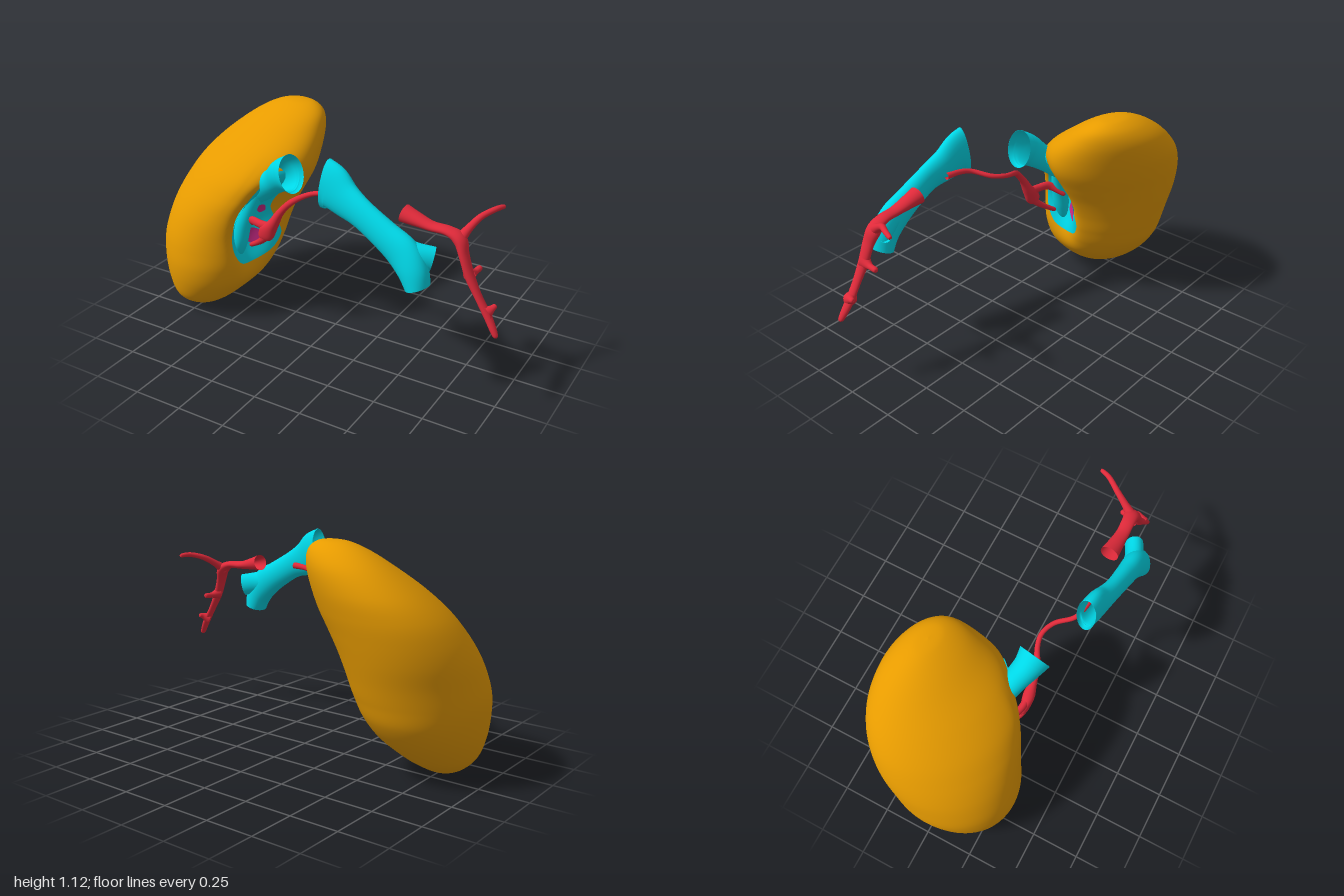
import * as THREE from 'three';

const mat = (name, color, side = THREE.DoubleSide) => {
  const m = new THREE.MeshStandardMaterial({ color, side });
  m.name = name;
  return m;
};

// Smooth interpolation through rows of numbers, t from 0 to rows.length - 1
function spline(rows, t) {
  const n = rows.length - 1;
  const i = Math.min(Math.floor(t), n - 1), f = t - i;
  const p = k => rows[Math.max(0, Math.min(n, k))];
  return rows[0].map((_, k) => {
    const a = p(i - 1)[k], b = p(i)[k], c = p(i + 1)[k], d = p(i + 2)[k];
    return b + 0.5 * f * (c - a + f * (2 * a - 5 * b + 4 * c - d + f * (3 * (b - c) + d - a)));
  });
}

// Skin over closed rings of points
function skin(rings) {
  const m = rings[0].length, index = [];
  for (let i = 0; i < rings.length - 1; i++) {
    for (let j = 0; j < m; j++) {
      const k = (j + 1) % m, a = i * m, c = a + m;
      index.push(a + j, c + j, a + k, a + k, c + j, c + k);
    }
  }
  const g = new THREE.BufferGeometry();
  g.setAttribute('position', new THREE.Float32BufferAttribute(rings.flat(2), 3));
  g.setIndex(index);
  g.computeVertexNormals();
  return g;
}

// Organ sections: y, xMin, xMax, zMin, zMax
const organ = [
  [0, -0.765, -0.765, 0.115, 0.115], [0.012, -0.83, -0.695, 0.04, 0.19],
  [0.05, -0.885, -0.625, -0.035, 0.262], [0.105, -0.927, -0.555, -0.115, 0.312],
  [0.2, -0.967, -0.457, -0.215, 0.345], [0.3, -0.99, -0.4, -0.285, 0.357],
  [0.4, -1, -0.363, -0.32, 0.348], [0.5, -0.99, -0.333, -0.35, 0.33],
  [0.6, -0.97, -0.293, -0.38, 0.305], [0.7, -0.93, -0.242, -0.405, 0.27],
  [0.8, -0.87, -0.197, -0.425, 0.215], [0.9, -0.78, -0.185, -0.433, 0.12],
  [1.0, -0.66, -0.192, -0.415, -0.01], [1.07, -0.55, -0.217, -0.37, -0.11],
  [1.11, -0.45, -0.275, -0.31, -0.19], [1.12, -0.36, -0.36, -0.25, -0.25],
];
const hollow = (z, y) =>
  0.15 * Math.exp(-Math.pow(((z - 0.115) / 0.12) ** 2 + ((y - 0.55) / 0.25) ** 2, 1.5));

// Point on an organ section, where c and s are the cosine and sine round it
function organPoint([y, x0, x1, z0, z1], c, s) {
  const dz = (z1 - z0) / 2 * s, z = (z0 + z1) / 2 + dz;
  const lean = 0.27 * THREE.MathUtils.smoothstep(y, 0.4, 0.9);
  let x = (x0 + x1) / 2 + (x1 - x0) / 2 * c + lean * dz;
  if (c > 0) x -= hollow(z, y) * Math.min(1, c * 4);
  return [x, y, z];
}

function organGeometry() {
  const rings = [], rows = 160, cols = 160;
  for (let i = 0; i <= rows; i++) {
    const sec = spline(organ, i / rows * (organ.length - 1));
    rings.push(Array.from({ length: cols }, (_, j) => {
      const a = j / cols * Math.PI * 2;
      return organPoint(sec, Math.cos(a), Math.sin(a));
    }));
  }
  return skin(rings);
}

// x of the organ's inner side at a given z and y
function sideX(z, y) {
  let lo = 0, hi = organ.length - 1;
  for (let k = 0; k < 30; k++) {
    const mid = (lo + hi) / 2;
    if (spline(organ, mid)[0] < y) lo = mid; else hi = mid;
  }
  const sec = spline(organ, lo);
  const s = THREE.MathUtils.clamp((2 * z - sec[3] - sec[4]) / (sec[4] - sec[3]), -1, 1);
  return organPoint(sec, Math.sqrt(1 - s * s), s)[0];
}

// Thin patch hugging the hollow; outline given as z, y
function patch(outline, cz, cy, lift) {
  const curve = new THREE.CatmullRomCurve3(outline.map(([z, y]) => new THREE.Vector3(0, y, z)), true);
  const edge = curve.getPoints(96).slice(0, -1), rings = [];
  for (let i = 0; i <= 30; i++) {
    const f = 1 - i / 30;
    rings.push(edge.map(p => {
      const z = cz + (p.z - cz) * f, y = cy + (p.y - cy) * f;
      return [sideX(z, y) + lift, y, z];
    }));
  }
  return skin(rings);
}

// Vessel through stations x, y, z, radius, depth radius; ref is the depth direction
function vessel(stations, ref = [0, 0, 1], sides = 28) {
  const st = stations.map(s => [s[0], s[1], s[2], s[3], s[4] ?? s[3]]);
  const n = (st.length - 1) * 8, span = st.length - 1, rings = [];
  const at = t => new THREE.Vector3(...spline(st, t).slice(0, 3));
  for (let i = 0; i <= n; i++) {
    const t = i / n * span, [x, y, z, ra, rb] = spline(st, t);
    const T = at(Math.min(span, t + 0.02)).sub(at(Math.max(0, t - 0.02))).normalize();
    const B = new THREE.Vector3(...ref);
    B.addScaledVector(T, -B.dot(T)).normalize();
    const N = T.clone().cross(B);
    rings.push(Array.from({ length: sides }, (_, j) => {
      const a = j / sides * Math.PI * 2, c = Math.cos(a) * ra, s = Math.sin(a) * rb;
      return [x + N.x * c + B.x * s, y + N.y * c + B.y * s, z + N.z * c + B.z * s];
    }));
  }
  return skin(rings);
}

export function createModel() {
  const group = new THREE.Group();
  const ochre = mat('ochre', 0xe89c00, THREE.FrontSide);
  const cyan = mat('cyan', 0x00dcec);
  const red = mat('red', 0xe02a3a);
  const magenta = mat('magenta', 0xcc2a88);
  const add = (name, geometry, material) => {
    const m = new THREE.Mesh(geometry, material);
    m.name = name;
    group.add(m);
  };

  // Bean-shaped body and the lining of its hollow
  add('organBody', organGeometry(), ochre);
  add('hollowLining', patch([
    [0.045, 0.85], [0.045, 0.74], [0.03, 0.62], [-0.02, 0.5], [-0.04, 0.43], [0, 0.35], [0.1, 0.305],
    [0.18, 0.32], [0.235, 0.4], [0.245, 0.5], [0.22, 0.62], [0.19, 0.74], [0.12, 0.85],
  ], 0.11, 0.55, 0.007), cyan);
  add('lowerSpot', patch([[0.105, 0.44], [0.08, 0.485], [0.01, 0.435], [0.035, 0.4], [0.07, 0.395], [0.1, 0.415]],
    0.06, 0.44, 0.012), magenta);
  add('upperSpot', patch([[0.08, 0.62], [0.06, 0.63], [0.04, 0.59], [0.055, 0.575]],
    0.06, 0.605, 0.012), magenta);

  // Wide cyan vessels
  add('flaredVessel', vessel([
    [-0.43, 0.71, 0.09, 0.07, 0.055], [-0.365, 0.76, 0.1, 0.078, 0.06], [-0.28, 0.81, 0.13, 0.066, 0.06],
    [-0.21, 0.865, 0.16, 0.08, 0.068], [-0.175, 0.884, 0.17, 0.088, 0.076], [-0.145, 0.893, 0.175, 0.098, 0.084],
  ]), cyan);
  add('innerFold', vessel([
    [-0.4, 0.74, 0.1, 0.05], [-0.435, 0.64, 0.135, 0.045], [-0.465, 0.54, 0.155, 0.045],
    [-0.485, 0.44, 0.16, 0.042], [-0.5, 0.37, 0.15, 0.025], [-0.505, 0.35, 0.145, 0.001],
  ]), cyan);
  add('largeVessel', vessel([
    [0.128, 0.95, 0.3, 0.127, 0.052], [0.17, 0.942, 0.308, 0.115, 0.052], [0.24, 0.905, 0.322, 0.092, 0.05],
    [0.34, 0.862, 0.343, 0.073, 0.045], [0.46, 0.795, 0.355, 0.074, 0.05], [0.555, 0.735, 0.362, 0.083, 0.056],
    [0.612, 0.665, 0.37, 0.074, 0.062], [0.64, 0.59, 0.373, 0.057, 0.063],
  ]), cyan);
  add('largeVesselStub', vessel([
    [0.54, 0.745, 0.355, 0.062, 0.045], [0.61, 0.732, 0.345, 0.058, 0.045], [0.68, 0.715, 0.315, 0.06, 0.045],
  ]), cyan);

  // Thin artery reaching the hollow, with its branches
  add('artery', vessel([
    [0.28, 0.87, 0.275, 0.017], [0.2, 0.865, 0.268, 0.014], [0.13, 0.85, 0.245, 0.012],
    [0.07, 0.825, 0.17, 0.012], [0, 0.81, 0.138, 0.012], [-0.07, 0.79, 0.15, 0.013],
    [-0.14, 0.75, 0.187, 0.016], [-0.2, 0.685, 0.198, 0.019], [-0.245, 0.61, 0.2, 0.03],
    [-0.285, 0.555, 0.203, 0.045, 0.024], [-0.315, 0.53, 0.2, 0.025, 0.018], [-0.33, 0.52, 0.198, 0.001],
  ]), red);
  add('upperBranch', vessel([
    [-0.255, 0.585, 0.2, 0.03, 0.02], [-0.32, 0.59, 0.195, 0.022, 0.018], [-0.39, 0.585, 0.17, 0.022, 0.016],
    [-0.44, 0.535, 0.115, 0.012], [-0.445, 0.53, 0.112, 0.001],
  ]), red);
  add('lowerBranch', vessel([
    [-0.275, 0.555, 0.203, 0.028, 0.02], [-0.31, 0.51, 0.198, 0.019], [-0.36, 0.47, 0.178, 0.014],
    [-0.415, 0.435, 0.155, 0.011], [-0.42, 0.432, 0.153, 0.001],
  ]), red);

  // Separate branching artery
  add('sideArtery', vessel([
    [0.5, 0.868, 0.247, 0.042, 0.047], [0.56, 0.855, 0.25, 0.032, 0.04], [0.64, 0.84, 0.253, 0.021, 0.033],
    [0.72, 0.835, 0.25, 0.02, 0.034], [0.775, 0.805, 0.248, 0.028, 0.04], [0.805, 0.74, 0.262, 0.021, 0.033],
    [0.84, 0.65, 0.268, 0.021, 0.028], [0.89, 0.56, 0.272, 0.016, 0.023], [0.94, 0.48, 0.275, 0.017, 0.023],
    [0.985, 0.405, 0.288, 0.013, 0.015], [0.99, 0.395, 0.289, 0.001],
  ]), red);
  add('risingBranch', vessel([
    [0.77, 0.8, 0.25, 0.03], [0.79, 0.84, 0.2, 0.019], [0.82, 0.88, 0.135, 0.015],
    [0.86, 0.9, 0.07, 0.013], [0.88, 0.898, 0.02, 0.01], [0.881, 0.897, 0.016, 0.001],
  ], [0, 1, 0]), red);
  add('middleStub', vessel([
    [0.835, 0.655, 0.265, 0.032], [0.842, 0.65, 0.22, 0.016], [0.848, 0.652, 0.175, 0.013],
    [0.849, 0.652, 0.168, 0.001],
  ], [0, 1, 0]), red);
  add('lowerStub', vessel([
    [0.93, 0.495, 0.276, 0.032], [0.945, 0.508, 0.25, 0.017], [0.953, 0.515, 0.23, 0.011],
    [0.954, 0.516, 0.226, 0.001],
  ], [0, 1, 0]), red);

  return group;
}
